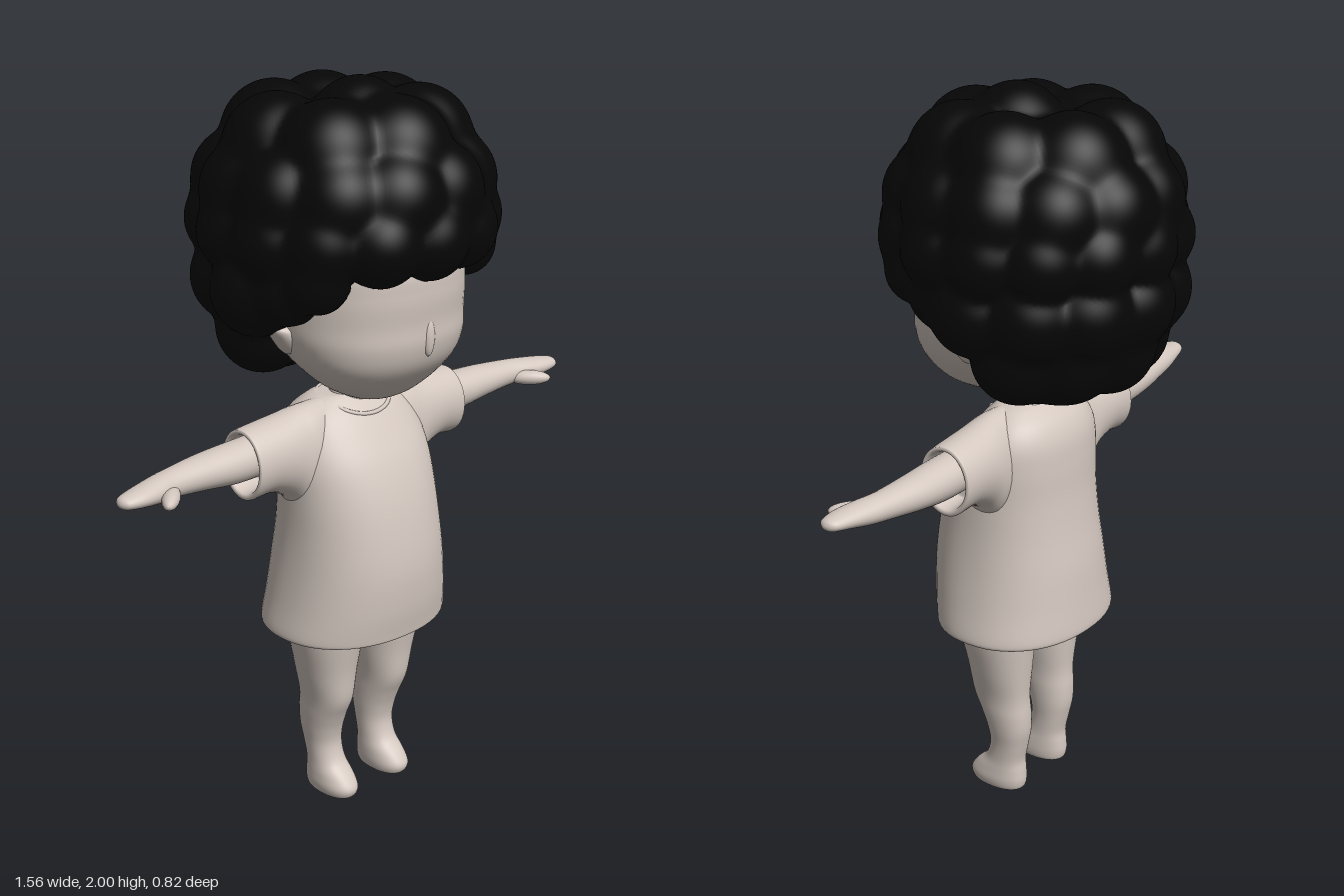
import * as THREE from 'three';
import { mergeVertices } from 'three/addons/utils/BufferGeometryUtils.js';

const bodyMat = new THREE.MeshStandardMaterial({ color: 0xd3c7bf });
bodyMat.name = 'warm clay';
const hairMat = new THREE.MeshStandardMaterial({ color: 0x060606 });
hairMat.name = 'black hair';

// Smooth closed skin over superellipse sections [t, aMin, aMax, bMin, bMax].
// axis 'y': t = y, a = x, b = z.   axis 'x': t = x, a = y, b = z.
function loft(sections, axis = 'y', power = 2, sides = 40, steps = 5) {
  const rings = [];
  const last = sections.length - 1;
  for (let i = 0; i < last; i++) {
    const p = [i - 1, i, i + 1, i + 2].map(k => sections[Math.min(Math.max(k, 0), last)]);
    for (let s = 0; s < steps; s++) {
      const u = s / steps;
      rings.push(p[1].map((v, k) => {
        const m0 = (p[2][k] - p[0][k]) / 2, m1 = (p[3][k] - v) / 2;
        const d = p[2][k] - v;
        return v + u * m0 + u * u * (3 * d - 2 * m0 - m1) + u * u * u * (m0 + m1 - 2 * d);
      }));
    }
  }
  rings.push(sections[last]);
  const pos = [], index = [];
  const put = (t, a, b) => (axis === 'y' ? pos.push(a, t, b) : pos.push(t, a, b));
  const bend = v => Math.sign(v) * Math.pow(Math.abs(v), 2 / power);
  for (const [t, a0, a1, b0, b1] of rings) {
    for (let j = 0; j < sides; j++) {
      const w = (j / sides) * Math.PI * 2;
      const c = bend(Math.cos(w)), s = bend(Math.sin(w));
      const [ka, kb] = axis === 'y' ? [c, s] : [s, c];
      put(t, (a0 + a1) / 2 + ka * (a1 - a0) / 2, (b0 + b1) / 2 + kb * (b1 - b0) / 2);
    }
  }
  for (let i = 0; i < rings.length - 1; i++) {
    for (let j = 0; j < sides; j++) {
      const a = i * sides + j, b = i * sides + (j + 1) % sides;
      index.push(a, a + sides, b, b, a + sides, b + sides);
    }
  }
  // end caps
  const top = (rings.length - 1) * sides, centre = pos.length / 3;
  for (const r of [rings[0], rings[rings.length - 1]]) put(r[0], (r[1] + r[2]) / 2, (r[3] + r[4]) / 2);
  for (let j = 0; j < sides; j++) {
    const n = (j + 1) % sides;
    index.push(centre, j, n, centre + 1, top + n, top + j);
  }
  const g = new THREE.BufferGeometry();
  g.setAttribute('position', new THREE.Float32BufferAttribute(pos, 3));
  g.setIndex(index);
  g.computeVertexNormals();
  return g;
}

// Symmetric section about x = 0
const sym = rows => rows.map(([y, w, b0, b1]) => [y, -w, w, b0, b1]);

function mirrored(geometry) {
  const g = geometry.clone().scale(-1, 1, 1);
  const ix = g.index.array;
  for (let i = 0; i < ix.length; i += 3) [ix[i], ix[i + 1]] = [ix[i + 1], ix[i]];
  g.computeVertexNormals();
  return g;
}

// One soft skin around many ellipsoids { c, s }, seen outward from a centre point
function softSkin(blobs, centre, sharpness) {
  let g = new THREE.IcosahedronGeometry(1, 40);
  g.deleteAttribute('uv');
  g.deleteAttribute('normal');
  g = mergeVertices(g, 1e-5);
  const p = g.attributes.position, d = new THREE.Vector3();
  const D = new THREE.Vector3(), C = new THREE.Vector3();
  for (let i = 0; i < p.count; i++) {
    d.fromBufferAttribute(p, i).normalize();
    let sum = 0;
    for (const { c, s } of blobs) {
      D.copy(d).divide(s);
      C.copy(c).sub(centre).divide(s);
      const A = D.dot(D), B = D.dot(C), disc = B * B - A * (C.dot(C) - 1);
      if (disc > 0 && B + Math.sqrt(disc) > 0) sum += Math.exp(sharpness * (B + Math.sqrt(disc)) / A);
    }
    d.multiplyScalar(Math.log(sum) / sharpness).add(centre);
    p.setXYZ(i, d.x, d.y, d.z);
  }
  g.computeVertexNormals();
  return g;
}

export function createModel() {
  const model = new THREE.Group();
  model.name = 'figure';
  const add = (name, geometry, mat = bodyMat) => {
    const mesh = new THREE.Mesh(geometry, mat);
    mesh.name = name;
    model.add(mesh);
  };
  const addPair = (name, geometry) => {
    add('left' + name, geometry);
    add('right' + name, mirrored(geometry));
  };

  // Head, nose and neck
  add('head', loft(sym([
    [1.185, 0.04, 0.09, 0.17], [1.2, 0.1, 0.05, 0.205], [1.24, 0.168, 0, 0.248],
    [1.3, 0.222, -0.08, 0.297], [1.36, 0.248, -0.15, 0.318], [1.42, 0.256, -0.2, 0.32],
    [1.5, 0.255, -0.22, 0.325], [1.58, 0.24, -0.22, 0.31], [1.66, 0.15, -0.15, 0.2],
  ]), 'y', 2.3, 56));
  add('nose', new THREE.SphereGeometry(1, 20, 14).scale(0.017, 0.05, 0.014).translate(0, 1.38, 0.313));
  add('neck', loft(sym([
    [1.08, 0.08, -0.04, 0.1], [1.16, 0.068, -0.025, 0.09], [1.2, 0.064, -0.02, 0.088], [1.27, 0.07, -0.03, 0.1],
  ])));
  addPair('Ear', loft([
    [1.325, 0.22, 0.24, 0.03, 0.055], [1.34, 0.21, 0.254, 0.012, 0.07], [1.37, 0.21, 0.274, 0, 0.082],
    [1.395, 0.22, 0.287, 0.005, 0.08], [1.408, 0.25, 0.285, 0.025, 0.06],
  ], 'y', 2, 20));

  // Shirt body: shallow underside, rounded hem, then the outside up to the neck
  add('shirt', loft(sym([
    [0.585, 0.17, -0.1, 0.17], [0.58, 0.2, -0.125, 0.2], [0.565, 0.228, -0.148, 0.225],
    [0.54, 0.243, -0.16, 0.237], [0.526, 0.253, -0.169, 0.245], [0.526, 0.261, -0.177, 0.252],
    [0.545, 0.263, -0.18, 0.256], [0.62, 0.249, -0.173, 0.267], [0.72, 0.234, -0.163, 0.27],
    [0.82, 0.224, -0.147, 0.257], [0.92, 0.22, -0.135, 0.233], [1.01, 0.218, -0.13, 0.198],
    [1.08, 0.205, -0.122, 0.155], [1.13, 0.175, -0.1, 0.118], [1.163, 0.132, -0.065, 0.085],
    [1.175, 0.1, -0.045, 0.07],
  ]), 'y', 2.2, 56));

  // Sleeves flow out of the chest and fold inward at the cuff
  addPair('Sleeve', loft([
    [0.08, 0.9, 1.172, -0.04, 0.09], [0.16, 0.885, 1.169, -0.055, 0.108], [0.2, 0.89, 1.165, -0.062, 0.108],
    [0.24, 0.932, 1.158, -0.064, 0.105], [0.3, 0.956, 1.151, -0.064, 0.101], [0.36, 0.953, 1.145, -0.062, 0.097],
    [0.37, 0.957, 1.141, -0.058, 0.093], [0.368, 0.968, 1.132, -0.05, 0.085], [0.35, 0.972, 1.128, -0.046, 0.08],
    [0.29, 0.98, 1.125, -0.044, 0.077],
  ], 'x'));

  // Collar seam, dipping at the front
  const collar = [];
  for (let i = 0; i < 20; i++) {
    const w = (i / 20) * Math.PI * 2, s = Math.sin(w), f = (1 + s) / 2;
    const depth = Math.sign(s) * Math.pow(Math.abs(s), 0.7);
    collar.push(new THREE.Vector3(0.095 * Math.cos(w), 1.172 - 0.045 * f * f, 0.035 + 0.083 * depth));
  }
  add('collar', new THREE.TubeGeometry(new THREE.CatmullRomCurve3(collar, true), 60, 0.006, 8, true));

  // Arms with mitten hands and thumbs
  addPair('Arm', loft([
    [0.27, 1.012, 1.124, -0.04, 0.072], [0.4, 1.01, 1.118, -0.042, 0.075], [0.5, 1.02, 1.112, -0.037, 0.069],
    [0.6, 1.031, 1.105, -0.02, 0.066], [0.66, 1.036, 1.101, -0.008, 0.077], [0.72, 1.046, 1.095, 0.008, 0.085],
    [0.762, 1.053, 1.088, 0.022, 0.079], [0.776, 1.059, 1.082, 0.034, 0.068], [0.781, 1.067, 1.073, 0.047, 0.056],
  ], 'x', 2, 32));
  addPair('Thumb', new THREE.SphereGeometry(1, 20, 14).scale(0.062, 0.021, 0.023)
    .rotateY(-0.8).translate(0.646, 1.058, 0.081));

  // Legs and feet
  addPair('Leg', loft([
    [0.004, 0.06, 0.135, -0.012, 0.125], [0.012, 0.05, 0.145, -0.025, 0.14], [0.035, 0.046, 0.15, -0.03, 0.146],
    [0.065, 0.047, 0.148, -0.028, 0.125], [0.1, 0.05, 0.145, -0.025, 0.09], [0.15, 0.05, 0.147, -0.035, 0.075],
    [0.2, 0.047, 0.154, -0.045, 0.082], [0.25, 0.045, 0.16, -0.046, 0.1], [0.31, 0.042, 0.166, -0.042, 0.125],
    [0.4, 0.028, 0.186, -0.048, 0.135], [0.52, 0.012, 0.21, -0.057, 0.155], [0.6, 0.01, 0.205, -0.06, 0.158],
  ], 'y', 2.2));

  // Hair: two cores covered in round curls, joined by one soft skin
  const blobs = [];
  const puff = (x, y, z, rx, ry = rx, rz = rx) =>
    blobs.push({ c: new THREE.Vector3(x, y, z), s: new THREE.Vector3(rx, ry, rz) });
  puff(0, 1.68, 0, 0.33, 0.26, 0.33);
  puff(0, 1.46, -0.14, 0.28, 0.21, 0.22);
  puff(0, 1.87, 0.06, 0.13);
  // full rings: y, ring radius, curl radius, count, turn
  for (const [y, R, r, n, turn] of [
    [1.83, 0.19, 0.14, 7, 0], [1.735, 0.265, 0.125, 12, 0.26], [1.635, 0.3, 0.108, 14, 0],
  ]) {
    for (let i = 0; i < n; i++) {
      const a = turn + (i / n) * Math.PI * 2;
      puff(R * Math.sin(a), y, R * Math.cos(a), r);
    }
  }
  // rings around the back only: y, ring radius, curl radius, count, half angle
  for (const [y, R, r, n, half] of [[1.49, 0.282, 0.122, 7, 1.5], [1.36, 0.225, 0.122, 5, 1.15]]) {
    for (let i = 0; i < n; i++) {
      const a = -half + (i / (n - 1)) * 2 * half;
      puff(R * Math.sin(a) * 0.97, y, -R * Math.cos(a), r);
    }
  }
  for (const x of [-0.11, 0, 0.11]) puff(x, 1.34, -0.13, 0.118);
  // temple curls step down toward the ears
  for (const side of [-1, 1]) {
    puff(side * 0.255, 1.55, 0.18, 0.085);
    puff(side * 0.262, 1.515, 0.08, 0.1);
  }
  add('hair', softSkin(blobs, new THREE.Vector3(0, 1.6, -0.04), 90), hairMat);

  return model;
}
